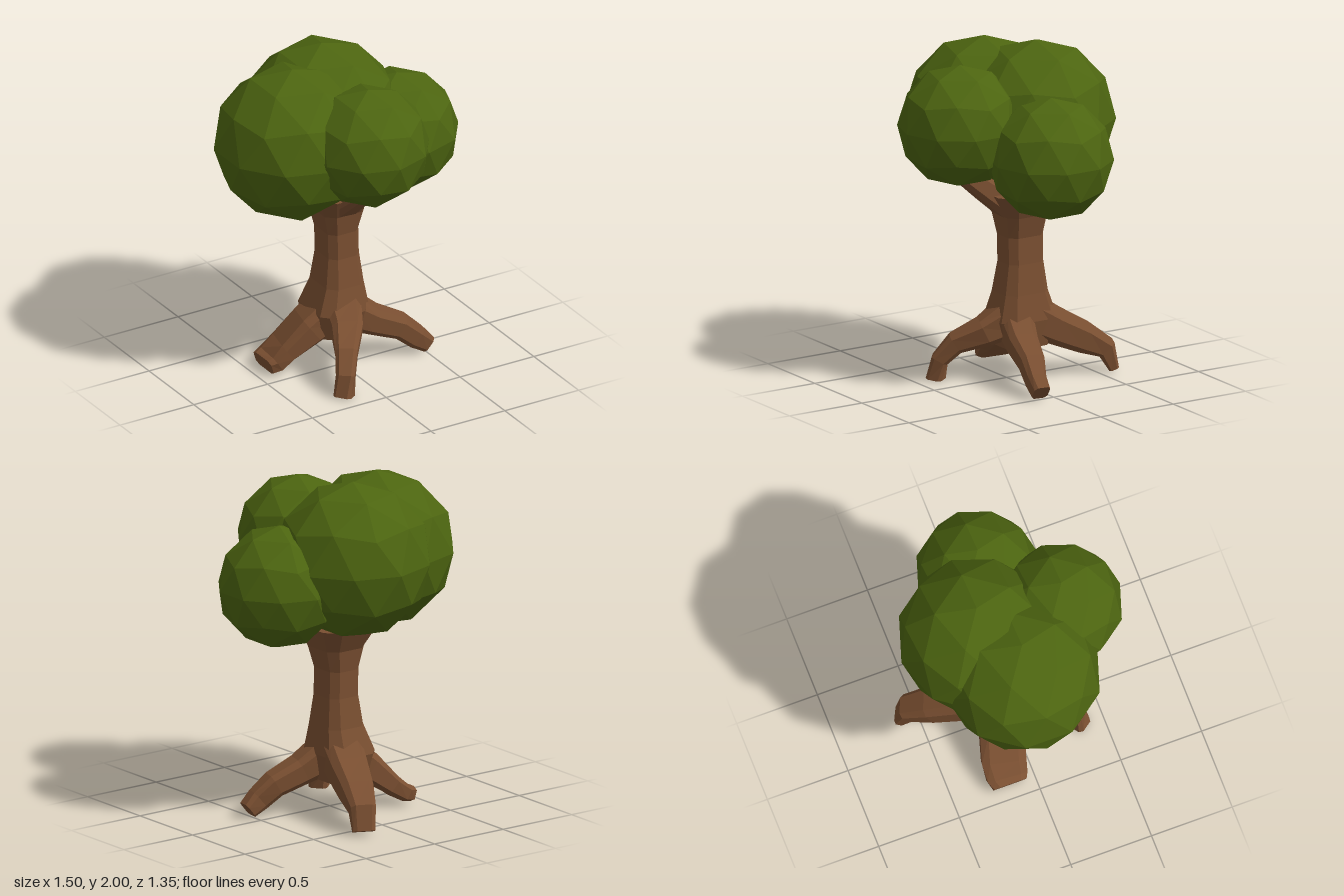
import * as THREE from 'three';

// Chamfered-square cross-section, counter-clockwise
const SECTION = [[1, -0.6], [1, 0.6], [0.65, 1], [-0.65, 1], [-1, 0.6], [-1, -0.6], [-0.65, -1], [0.65, -1]];

// Skin a list of equal-length rings of points, with closed ends and flat faces
function loft(rings) {
  const n = rings[0].length, pos = [], idx = [];
  rings.flat().forEach((p) => pos.push(p.x, Math.max(0, p.y), p.z));
  for (let r = 0; r < rings.length - 1; r++) {
    for (let i = 0; i < n; i++) {
      const a = r * n + i, b = r * n + (i + 1) % n;
      idx.push(a, b, b + n, a, b + n, a + n);
    }
  }
  const last = (rings.length - 1) * n;
  for (let i = 1; i < n - 1; i++) {
    idx.push(0, i + 1, i, last, last + i, last + i + 1);
  }
  const geo = new THREE.BufferGeometry();
  geo.setAttribute('position', new THREE.Float32BufferAttribute(pos, 3));
  geo.setIndex(idx);
  const flat = geo.toNonIndexed();
  flat.computeVertexNormals();
  return flat;
}

// Sweep the section along stations [x, y, z, halfWidth, halfHeight]
function limb(stations) {
  const pts = stations.map(([x, y, z]) => new THREE.Vector3(x, y, z));
  return loft(stations.map(([, , , w, h], i) => {
    const t = pts[Math.min(i + 1, pts.length - 1)].clone().sub(pts[Math.max(i - 1, 0)]).normalize();
    const side = new THREE.Vector3(t.z, 0, -t.x).normalize();
    const up = t.clone().cross(side);
    return SECTION.map(([a, b]) => pts[i].clone().addScaledVector(side, a * w).addScaledVector(up, b * h));
  }));
}

export function createModel() {
  const tree = new THREE.Group();
  tree.name = 'tree';
  const bark = new THREE.MeshStandardMaterial({ color: 0x7a4f31 });
  bark.name = 'bark brown';
  const leaf = new THREE.MeshStandardMaterial({ color: 0x4c6410 });
  leaf.name = 'leaf green';

  const add = (name, geo, mat) => {
    const mesh = new THREE.Mesh(geo, mat);
    mesh.name = name;
    tree.add(mesh);
    return mesh;
  };

  // Trunk: [y, centre x, centre z, half x, half z]
  const trunk = [
    [0.2, 0, -0.09, 0.14, 0.15],
    [0.36, 0, -0.09, 0.165, 0.19],
    [0.52, 0.015, -0.08, 0.125, 0.145],
    [0.7, 0.018, -0.082, 0.103, 0.118],
    [0.86, 0.014, -0.082, 0.103, 0.118],
    [0.99, 0.015, -0.08, 0.135, 0.14],
    [1.13, 0.01, -0.08, 0.205, 0.22],
  ];
  add('trunk', loft(trunk.map(([y, cx, cz, hx, hz]) =>
    SECTION.map(([a, b]) => new THREE.Vector3(cx + b * hx, y, cz + a * hz)))), bark);

  // Roots reaching down to the ground
  const roots = {
    frontRoot: [[0, 0.36, 0, 0.11, 0.11], [-0.04, 0.29, 0.13, 0.09, 0.08], [-0.13, 0.22, 0.27, 0.065, 0.06],
      [-0.18, 0.12, 0.345, 0.055, 0.05], [-0.2, 0, 0.36, 0.055, 0.05]],
    leftRoot: [[0.04, 0.34, -0.03, 0.1, 0.11], [0.2, 0.25, 0.02, 0.085, 0.08], [0.36, 0.18, 0.06, 0.07, 0.07],
      [0.45, 0.1, 0.09, 0.055, 0.065], [0.52, 0.045, 0.1, 0.05, 0.05]],
    backRoot: [[0.02, 0.38, -0.12, 0.12, 0.12], [0.08, 0.29, -0.28, 0.11, 0.1], [0.14, 0.21, -0.44, 0.095, 0.085],
      [0.19, 0.14, -0.56, 0.075, 0.06], [0.21, 0.02, -0.6, 0.065, 0.03]],
    rightRoot: [[-0.03, 0.34, -0.09, 0.13, 0.11], [-0.16, 0.25, -0.11, 0.13, 0.09], [-0.3, 0.13, -0.15, 0.13, 0.06],
      [-0.38, 0.065, -0.16, 0.12, 0.05], [-0.43, 0.05, -0.16, 0.1, 0.045]],
  };
  for (const [name, stations] of Object.entries(roots)) add(name, limb(stations), bark);

  // Branches spreading from the trunk top into each leaf ball
  const branches = {
    frontBranch: [0, 1.3, 0.34], leftBranch: [0.3, 1.3, -0.07],
    backBranch: [0, 1.3, -0.34], rightBranch: [-0.28, 1.3, -0.07],
  };
  for (const [name, [x, y, z]] of Object.entries(branches)) {
    add(name, limb([[0.01 + x * 0.15, 1.03, -0.08 + z * 0.15, 0.09, 0.09],
      [x * 0.5, 1.15, -0.03 + z * 0.5, 0.075, 0.07], [x, y, z, 0.055, 0.05]]), bark);
  }

  // Leaf balls: faceted spheres with one vertex pointing straight up
  const balls = {
    rightLeaves: [-0.31, 1.515, -0.04, 0.466],
    backLeaves: [-0.01, 1.535, -0.207, 0.466],
    frontLeaves: [-0.012, 1.563, 0.317, 0.363],
    leftLeaves: [0.402, 1.405, -0.045, 0.366],
  };
  const tilt = -Math.atan(2 / (1 + Math.sqrt(5)));
  for (const [name, [x, y, z, r]] of Object.entries(balls)) {
    add(name, new THREE.IcosahedronGeometry(r, 1).rotateZ(tilt), leaf).position.set(x, y, z);
  }
  // IcosahedronGeometry is smooth above detail 0, so facet its normals
  tree.children.filter((m) => m.material === leaf).forEach((m) => m.geometry.computeVertexNormals());
  return tree;
}
